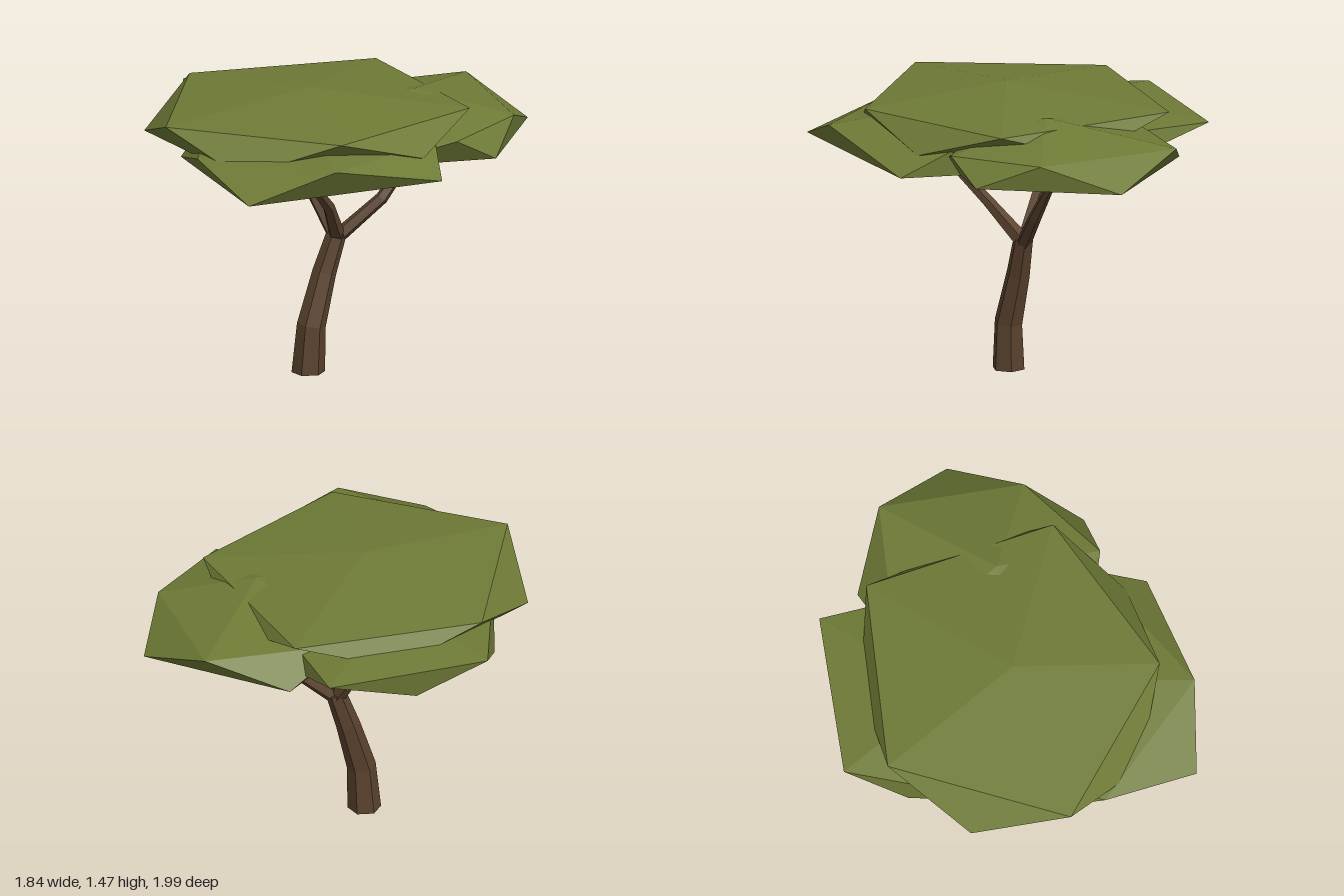
import * as THREE from 'three';

// Flattened 20-sided clump: a top point, two staggered rings of five, a bottom point
function clumpGeometry(top, upper, lower, bottom) {
  const pos = [];
  const tri = (...corners) => corners.forEach((c) => pos.push(...c));
  for (let i = 0; i < 5; i++) {
    const j = (i + 1) % 5;
    tri(top, upper[i], upper[j]);
    tri(upper[i], lower[i], upper[j]);
    tri(lower[i], lower[j], upper[j]);
    tri(bottom, lower[j], lower[i]);
  }
  const g = new THREE.BufferGeometry();
  g.setAttribute('position', new THREE.Float32BufferAttribute(pos, 3));
  g.computeVertexNormals();
  return g;
}

// Tapered limb through sections [x, y, z, radius], with rings tilted along the path
function limbGeometry(sections, sides, turn = 0) {
  const pts = sections.map((s) => new THREE.Vector3(s[0], s[1], s[2]));
  const up = new THREE.Vector3(0, 1, 0);
  const rings = sections.map((s, k) => {
    const dir = pts[Math.min(k + 1, pts.length - 1)].clone().sub(pts[Math.max(k - 1, 0)]).normalize();
    if (s[1] === 0) dir.copy(up);
    const q = new THREE.Quaternion().setFromUnitVectors(up, dir);
    return Array.from({ length: sides }, (_, i) => {
      const a = turn + (i / sides) * Math.PI * 2;
      return new THREE.Vector3(Math.cos(a) * s[3], 0, -Math.sin(a) * s[3]).applyQuaternion(q).add(pts[k]);
    });
  });
  const pos = [];
  const tri = (...corners) => corners.forEach((c) => pos.push(c.x, c.y, c.z));
  const last = rings.length - 1;
  for (let i = 0; i < sides; i++) {
    const j = (i + 1) % sides;
    for (let k = 0; k < last; k++) {
      tri(rings[k][i], rings[k][j], rings[k + 1][j]);
      tri(rings[k][i], rings[k + 1][j], rings[k + 1][i]);
    }
    tri(pts[0], rings[0][j], rings[0][i]);
    tri(pts[last], rings[last][i], rings[last][j]);
  }
  const g = new THREE.BufferGeometry();
  g.setAttribute('position', new THREE.Float32BufferAttribute(pos, 3));
  g.computeVertexNormals();
  return g;
}

export function createModel() {
  const tree = new THREE.Group();
  tree.name = 'flatTopTree';
  const bark = new THREE.MeshStandardMaterial({ color: 0x5a422e, flatShading: true });
  bark.name = 'bark brown';
  const leaf = new THREE.MeshStandardMaterial({ color: 0x6e7a36, flatShading: true });
  leaf.name = 'leaf green';
  const add = (name, geometry, material) => {
    const mesh = new THREE.Mesh(geometry, material);
    mesh.name = name;
    tree.add(mesh);
  };

  // Leaning trunk
  add('trunk', limbGeometry([
    [-0.11, 0, -0.01, 0.083],
    [-0.095, 0.24, -0.01, 0.072],
    [-0.035, 0.5, -0.06, 0.06],
    [0.025, 0.7, -0.088, 0.05],
  ], 6, 0.2), bark);

  // Three branches, each reaching into one lower clump
  const branches = {
    leftBranch: [[0.035, 0.68, -0.09, 0.038], [0.24, 0.86, -0.15, 0.033], [0.41, 1.1, -0.25, 0.018]],
    rightBranch: [[0.015, 0.68, -0.09, 0.04], [-0.1, 0.88, -0.15, 0.034], [-0.22, 1.1, -0.26, 0.022]],
    frontBranch: [[0.025, 0.68, -0.085, 0.042], [0, 0.88, 0.09, 0.03], [-0.09, 1.1, 0.32, 0.018]],
  };
  for (const [name, path] of Object.entries(branches)) add(name, limbGeometry(path, 5, 0.3), bark);

  // Wide crown on top
  add('topFoliage', clumpGeometry(
    [-0.11, 1.465, 0],
    [[0.69, 1.38, 0], [0.15, 1.38, -0.81], [-0.74, 1.38, -0.47], [-0.77, 1.38, 0.47], [0.12, 1.375, 0.69]],
    [[0.5, 1.24, -0.42], [-0.34, 1.24, -0.71], [-0.92, 1.22, 0], [-0.38, 1.21, 0.72], [0.5, 1.24, 0.42]],
    [-0.11, 1.16, 0],
  ), leaf);

  // Lower clumps
  add('leftFoliage', clumpGeometry(
    [0.4, 1.412, -0.21],
    [[0.89, 1.29, -0.2], [0.59, 1.31, -0.86], [-0.08, 1.29, -0.6], [-0.06, 1.29, 0.08], [0.65, 1.28, 0.25]],
    [[0.92, 1.16, -0.6], [0.17, 1.16, -0.86], [-0.16, 1.16, -0.25], [0.22, 1.15, 0.3], [0.83, 1.16, 0.12]],
    [0.4, 1.06, -0.25],
  ), leaf);
  add('rightFoliage', clumpGeometry(
    [-0.27, 1.36, -0.29],
    [[0.35, 1.28, -0.29], [-0.04, 1.28, -1], [-0.79, 1.29, -0.68], [-0.74, 1.28, 0.08], [-0.08, 1.28, 0.28]],
    [[0.2, 1.15, -0.62], [-0.45, 1.14, -0.8], [-0.79, 1.14, -0.35], [-0.46, 1.15, 0.25], [0.22, 1.15, 0.05]],
    [-0.27, 1.05, -0.29],
  ), leaf);
  add('frontFoliage', clumpGeometry(
    [-0.08, 1.36, 0.27],
    [[0.54, 1.28, 0.24], [0.1, 1.28, -0.35], [-0.6, 1.28, -0.15], [-0.6, 1.26, 0.6], [0.11, 1.29, 0.87]],
    [[0.45, 1.15, -0.12], [-0.3, 1.15, -0.33], [-0.72, 1.15, 0.2], [-0.31, 1.14, 0.99], [0.6, 1.15, 0.5]],
    [-0.08, 1.06, 0.27],
  ), leaf);

  return tree;
}
